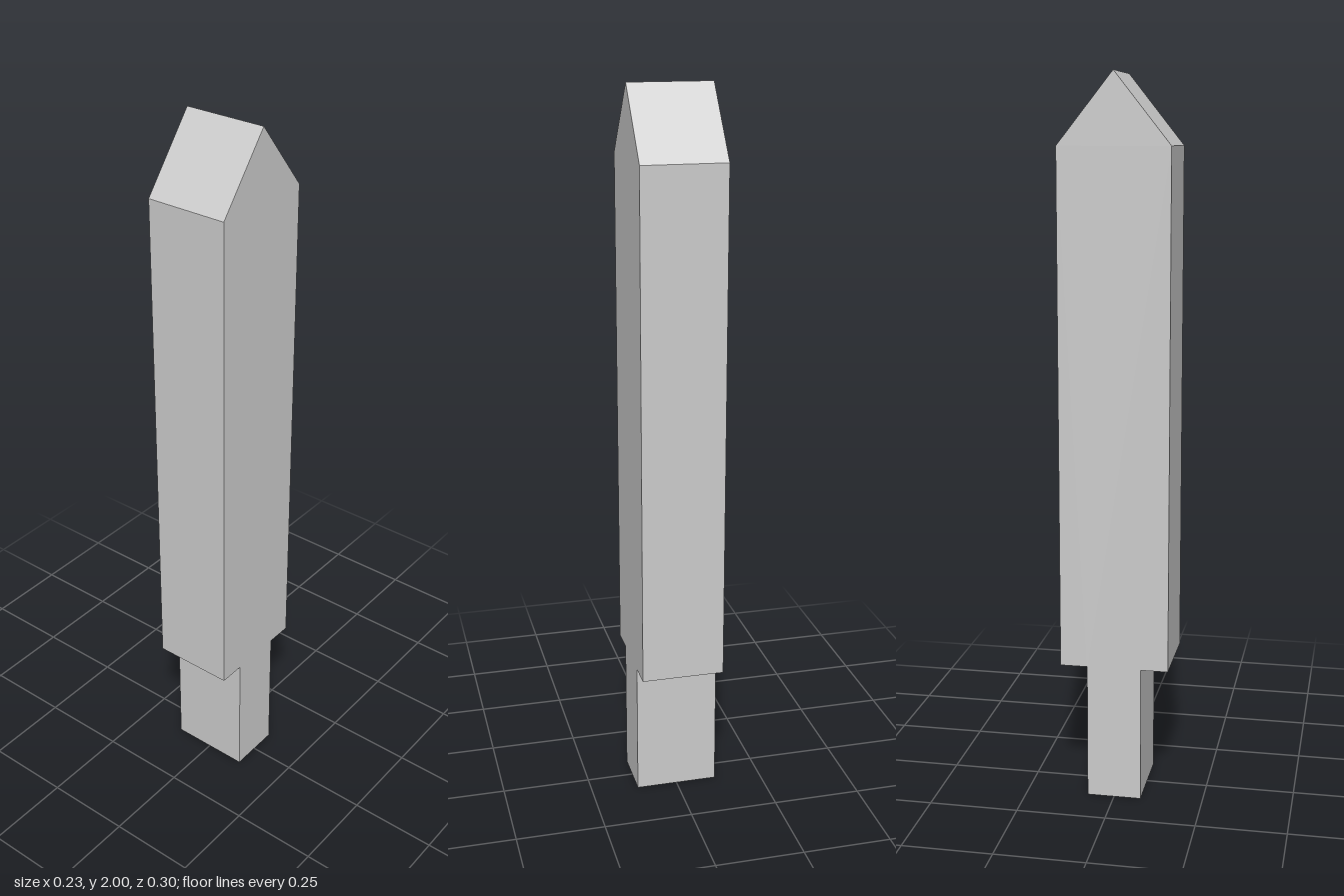
import * as THREE from 'three';

const WIDTH = 0.233;

export function createModel() {
  const group = new THREE.Group();
  group.name = 'pointedStake';

  // Half of the side outline as [depth, height]: tang, shoulder, body, ridge
  const half = [[0.076, 0], [0.076, 0.385], [0.152, 0.385], [0.152, 1.81]];
  const mirrored = half.map(([d, h]) => [-d, h]).reverse();
  const outline = [...half, [0, 2], ...mirrored];
  const shape = new THREE.Shape(outline.map(([d, h]) => new THREE.Vector2(d, h)));

  // Extrude the outline across the width, then turn it to lie along x
  const geometry = new THREE.ExtrudeGeometry(shape, { depth: WIDTH, bevelEnabled: false });
  geometry.translate(0, 0, -WIDTH / 2);
  geometry.rotateY(Math.PI / 2);

  const material = new THREE.MeshStandardMaterial({ color: 0xcccccc, flatShading: true });
  const stake = new THREE.Mesh(geometry, material);
  stake.name = 'stakeBodyWithTang';
  group.add(stake);

  return group;
}
